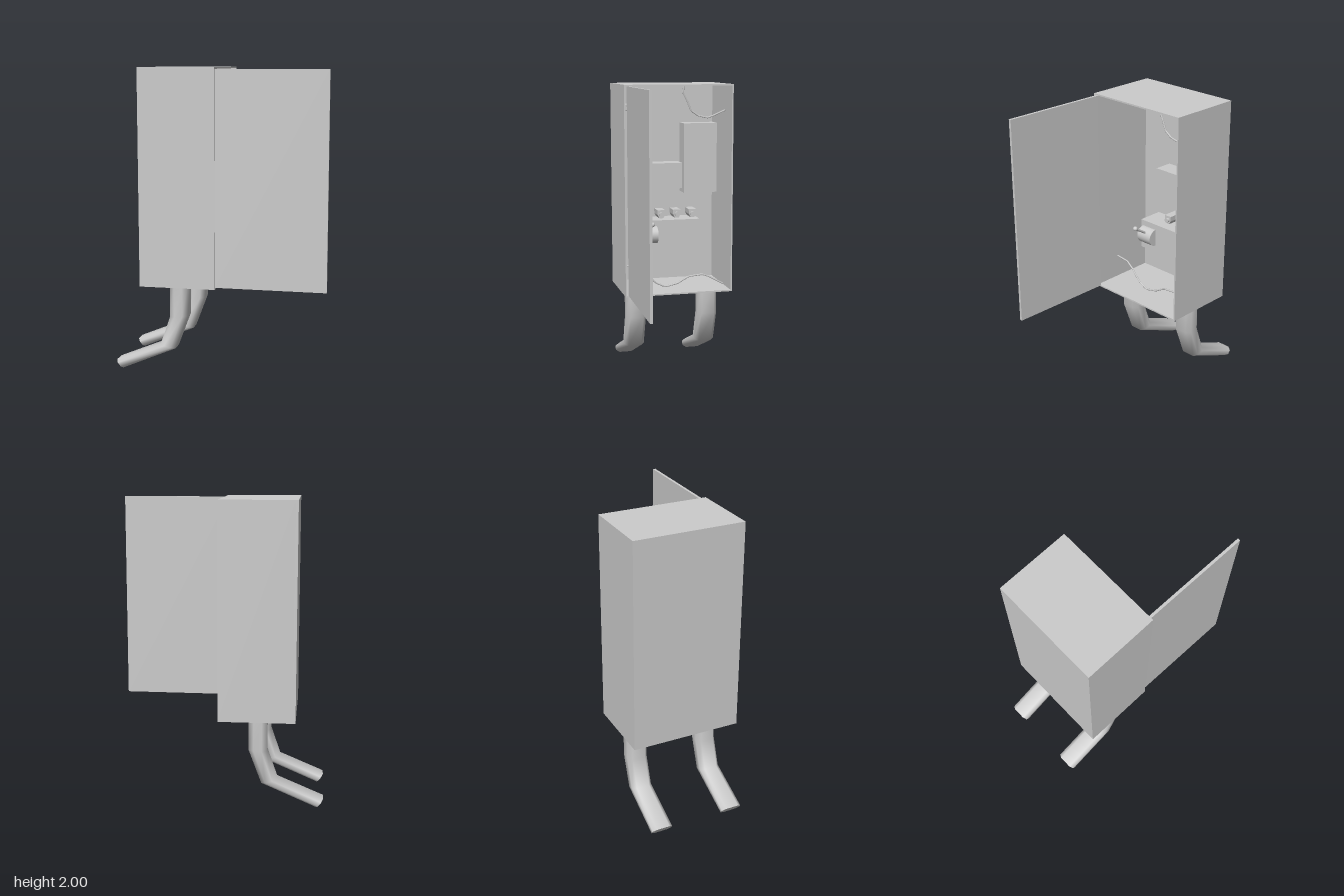
import * as THREE from 'three';

const mat = new THREE.MeshStandardMaterial({ color: 0xcccccc });
const matDouble = new THREE.MeshStandardMaterial({ color: 0xcccccc, side: THREE.DoubleSide });

export function createModel() {
  const model = new THREE.Group();

  const add = (name, geometry, x = 0, y = 0, z = 0, material = mat) => {
    const mesh = new THREE.Mesh(geometry, material);
    mesh.name = name;
    mesh.position.set(x, y, z);
    model.add(mesh);
    return mesh;
  };
  // Box given by its lower and upper corners
  const slab = (name, [x0, y0, z0], [x1, y1, z1]) =>
    add(name, new THREE.BoxGeometry(x1 - x0, y1 - y0, z1 - z0), (x0 + x1) / 2, (y0 + y1) / 2, (z0 + z1) / 2);

  // Hollow cabinet, open towards +x
  const X0 = -0.52, X1 = -0.02, Y0 = 0.585, Y1 = 2, Z = 0.372, T = 0.01, inner = -0.5;
  slab('backWall', [X0, Y0, -Z], [inner, Y1, Z]);
  slab('roof', [inner, Y1 - T, -Z], [X1, Y1, Z]);
  slab('floor', [inner, Y0, -Z], [X1, Y0 + T, Z]);
  for (const s of [-1, 1]) {
    const a = s * Z, b = s * (Z - T);
    slab('sideWall', [inner, Y0 + T, Math.min(a, b)], [X1, Y1 - T, Math.max(a, b)]);
  }

  // Door swung open on its front hinge
  const door = add('door', new THREE.BoxGeometry(0.72, 1.395, 0.018), 0.34, 1.2925, 0.35);
  door.rotation.y = -0.014;

  // Equipment boxes on the inner wall
  slab('switchBox', [inner, 0.84, -0.222], [-0.32, 1.05, 0.228]);
  slab('meterBox', [inner, 1.265, -0.105], [-0.37, 1.445, 0.133]);
  slab('fuseBox', [inner, 1.23, -0.362], [-0.38, 1.72, -0.122]);

  // Small bevelled button
  const button = add('button', new THREE.CylinderGeometry(0.026, 0.038, 0.05, 4, 1).rotateY(Math.PI / 4),
    inner + 0.025, 1.83, 0.265);
  button.rotation.z = -Math.PI / 2;
  button.geometry = button.geometry.toNonIndexed();
  button.geometry.computeVertexNormals();

  // Half-round lever housing, arm and grip
  add('leverHousing', new THREE.CylinderGeometry(0.06, 0.06, 0.12, 24).rotateX(Math.PI / 2), -0.32, 0.95, 0.15);
  const from = new THREE.Vector3(-0.3, 0.97, 0.15), to = new THREE.Vector3(-0.18, 1.045, 0.15);
  add('leverArm', new THREE.TubeGeometry(new THREE.LineCurve3(from, to), 1, 0.009, 10));
  add('leverGrip', new THREE.SphereGeometry(0.017, 14, 10), to.x, to.y, to.z);

  // Row of cable sockets along the top of the switch box
  const plate = new THREE.Shape([[-0.028, 0.03], [-0.026, -0.005], [-0.014, -0.028], [0.014, -0.028],
    [0.026, -0.005], [0.028, 0.03]].map(p => new THREE.Vector2(...p)));
  const plateGeo = new THREE.ExtrudeGeometry(plate, { depth: 0.11, bevelEnabled: false }).rotateY(Math.PI / 2);
  const plugGeo = new THREE.CylinderGeometry(0.016, 0.016, 0.02, 14).rotateZ(Math.PI / 2);
  for (const z of [0.04, -0.073, -0.188]) {
    add('socket', plateGeo, inner, 1.08, z);
    add('socketPlug', plugGeo, -0.385, 1.08, z);
  }

  // Loose wires hanging from the roof and lying over the floor, as [y, z]
  const wire = (name, x, pts) => {
    const path = new THREE.CurvePath();
    const v = pts.map(([y, z]) => new THREE.Vector3(x, y, z));
    for (let i = 1; i < v.length; i++) path.add(new THREE.LineCurve3(v[i - 1], v[i]));
    add(name, new THREE.TubeGeometry(path, 40, 0.006, 6));
  };
  wire('upperWire', -0.18, [[1.99, -0.07], [1.94, -0.065], [1.89, -0.092], [1.82, -0.12],
    [1.785, -0.17], [1.77, -0.235], [1.785, -0.28], [1.82, -0.36]]);
  wire('lowerWire', -0.2, [[0.765, 0.345], [0.755, 0.25], [0.715, 0.2], [0.635, 0.13], [0.6, 0.06],
    [0.62, -0.03], [0.665, -0.11], [0.675, -0.21], [0.66, -0.25], [0.6, -0.36]]);

  // Bent legs: rings given by their [x, y] on the outer and inner side
  const rings = [
    [[-0.335, 0.59], [-0.215, 0.59]],
    [[-0.335, 0.375], [-0.215, 0.385]],
    [[-0.4, 0.187], [-0.3, 0.16]],
    [[-0.705, 0.06], [-0.663, 0.005]],
  ];
  const outline = [[1, 0.045], [0.45, 0.07], [-0.45, 0.07], [-1, 0.045],
    [-1, -0.045], [-0.45, -0.07], [0.45, -0.07], [1, -0.045]];
  const n = outline.length, pos = [], idx = [];
  for (const [a, b] of rings) {
    for (const [u, z] of outline) {
      const t = (1 - u) / 2;
      pos.push(a[0] + (b[0] - a[0]) * t, a[1] + (b[1] - a[1]) * t, z);
    }
  }
  for (let r = 0; r < rings.length - 1; r++) {
    for (let i = 0; i < n; i++) {
      const a = r * n + i, b = r * n + (i + 1) % n;
      idx.push(a, a + n, b, b, a + n, b + n);
    }
  }
  // Flat foot end with its own vertices
  const last = pos.slice(-3 * n), start = rings.length * n;
  pos.push(...last);
  for (let i = 1; i < n - 1; i++) idx.push(start, start + i + 1, start + i);
  const legGeo = new THREE.BufferGeometry();
  legGeo.setAttribute('position', new THREE.Float32BufferAttribute(pos, 3));
  // Order of corners is turned so that all faces point outwards
  for (let i = 0; i < idx.length; i += 3) {
    const p = [0, 1, 2].map(k => new THREE.Vector3().fromArray(pos, idx[i + k] * 3));
    const normal = new THREE.Triangle(...p).getNormal(new THREE.Vector3());
    const mid = new THREE.Triangle(...p).getMidpoint(new THREE.Vector3());
    const ring = Math.min(rings.length - 1, Math.floor(idx[i] / n));
    const [a, b] = rings[ring];
    const axis = new THREE.Vector3((a[0] + b[0]) / 2, (a[1] + b[1]) / 2, 0);
    const isCap = idx[i] >= start;
    const out = isCap ? new THREE.Vector3(-1, -0.5, 0) : null;
    if (!isCap) {
      const [c, d] = rings[Math.min(ring + 1, rings.length - 1)];
      const next = new THREE.Vector3((c[0] + d[0]) / 2, (c[1] + d[1]) / 2, 0);
      const near = new THREE.Line3(axis, next).closestPointToPoint(mid, true, new THREE.Vector3());
      mid.sub(near);
    }
    if (normal.dot(out || mid) < 0) [idx[i + 1], idx[i + 2]] = [idx[i + 2], idx[i + 1]];
  }
  legGeo.setIndex(idx);
  legGeo.computeVertexNormals();
  add('frontLeg', legGeo, 0, 0, 0.257, matDouble);
  add('backLeg', legGeo, 0, 0, -0.257, matDouble);

  return model;
}
